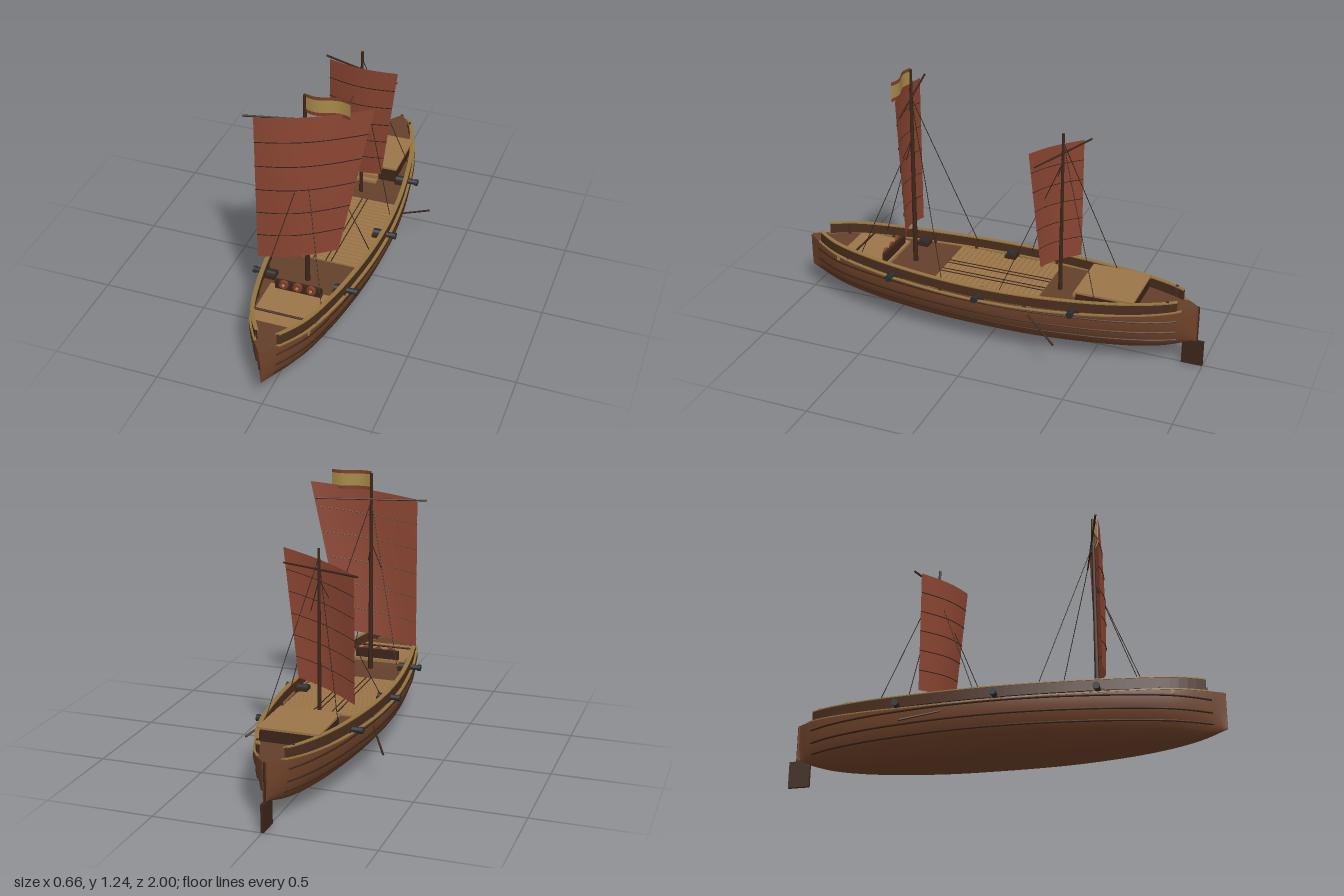
import * as THREE from 'three';
import { ParametricGeometry } from 'three/addons/geometries/ParametricGeometry.js';

const V = (x, y, z) => new THREE.Vector3(x, y, z);
const paint = (color, flatShading = false) => {
  const m = new THREE.MeshStandardMaterial({ color, flatShading, side: THREE.DoubleSide });
  return m;
};
const WOOD = paint(0x70432a), DECK = paint(0x64402b), TAN = paint(0x9c7548), DARK = paint(0x3c2519);
const BULWARK = paint(0x4a2d1e, true), RAIL = paint(0x94743f, true), IRON = paint(0x2a2d31);
const SAIL = paint(0x8c4633), ROPE = paint(0x2b2119), GOLD = paint(0xa88a48), RED = paint(0x7d3d2a);

// Smooth curve through a short table of values along z
function table(zs, vals) {
  const it = new THREE.CubicInterpolant(zs, vals, 1);
  return z => it.evaluate(z)[0];
}
const halfWidth = table(
  [-0.96, -0.9, -0.8, -0.6, -0.4, -0.2, 0, 0.2, 0.4, 0.6, 0.8, 0.9, 1],
  [0.008, 0.06, 0.115, 0.178, 0.214, 0.237, 0.245, 0.238, 0.217, 0.184, 0.13, 0.075, 0.006]);
const keel = table(
  [-0.96, -0.8, -0.4, 0, 0.4, 0.7, 0.9, 1],
  [0.125, 0.075, 0.036, 0.03, 0.034, 0.055, 0.088, 0.122]);
const sheer = z => 0.25 + (z < 0 ? 0.052 : 0.04) * z * z;
const hullX = (y, z) => {
  const q = THREE.MathUtils.clamp((y - keel(z)) / (sheer(z) - keel(z)), 0, 1);
  return halfWidth(z) * Math.pow(Math.sin(Math.acos(1 - q)), 0.85);
};

export function createModel() {
  const ship = new THREE.Group();
  ship.name = 'sailingShip';

  const add = (name, geo, mat, pos, parent = ship) => {
    const m = new THREE.Mesh(geo, mat);
    m.name = name;
    if (pos) m.position.copy(pos);
    parent.add(m);
    return m;
  };
  const box = (name, w, h, d, mat, x, y, z) => add(name, new THREE.BoxGeometry(w, h, d), mat, V(x, y, z));
  const surface = (name, mat, nu, nv, fn) => add(name, new ParametricGeometry((u, v, p) => fn(u, v, p), nu, nv), mat);
  const rod = (name, a, b, r0, r1, mat, sides = 10) => {
    const d = b.clone().sub(a);
    const m = add(name, new THREE.CylinderGeometry(r1, r0, d.length(), sides), mat, a.clone().lerp(b, 0.5));
    m.quaternion.setFromUnitVectors(V(0, 1, 0), d.normalize());
    return m;
  };

  // Hull shell and deck
  surface('hull', WOOD, 32, 64, (u, v, p) => {
    const z = -0.96 + 1.96 * v, a = (u * 2 - 1) * Math.PI / 2, s = Math.sin(a);
    p.set(Math.sign(s) * halfWidth(z) * Math.pow(Math.abs(s), 0.85),
      sheer(z) - (sheer(z) - keel(z)) * Math.cos(a), z);
  });
  surface('deck', DECK, 4, 48, (u, v, p) => {
    const z = -0.955 + 1.95 * v;
    p.set((1 - 2 * u) * halfWidth(z) * 0.99, sheer(z) - 0.002, z);
  });

  // Strip of rectangular section that follows the hull outline
  const strip = (name, mat, side, inset, thick, low, high, z0, z1) =>
    surface(name, mat, 4, 48, (u, v, p) => {
      const z = z0 + (z1 - z0) * v, k = Math.round(u * 4) % 4;
      p.set(side * (halfWidth(z) - inset - (k === 1 || k === 2 ? thick : 0)),
        k > 1 ? high(z) : low(z), z);
    });

  for (const s of [-1, 1]) {
    // Bulwarks and rails
    strip('bulwark', BULWARK, s, 0.008, 0.01, z => 0.265 + 0.026 * z * z, z => 0.312 + 0.032 * z * z, -0.88, 0.92);
    strip('bulwarkRail', RAIL, s, 0.004, 0.02, z => 0.312 + 0.032 * z * z, z => 0.317 + 0.032 * z * z, -0.88, 0.92);
    strip('gunwale', RAIL, s, -0.002, 0.014, z => sheer(z) - 0.002, z => sheer(z) + 0.004, -0.9, 0.93);
    for (let z = -0.84; z < 0.9; z += 0.21)
      box('bulwarkPost', 0.01, 0.06, 0.012, BULWARK, s * (halfWidth(z) - 0.016), sheer(z) + 0.028, z);

    // Wales along the hull side
    for (const y of [0.245, 0.187, 0.138]) {
      const pts = [];
      for (let i = 0; i <= 24; i++) {
        const z = -0.88 + 1.82 * i / 24;
        pts.push(V(s * hullX(y, z), y, z));
      }
      add('wale', new THREE.TubeGeometry(new THREE.CatmullRomCurve3(pts), 64, 0.005, 6), DARK);
    }

    // Cannons
    for (const [z, reach] of [[0.465, 0.25], [0.015, 0.282], [-0.435, 0.25]]) {
      box('cannonCarriage', 0.06, 0.024, 0.055, DARK, s * (reach - 0.08), 0.264, z);
      rod('cannonBarrel', V(s * (reach - 0.11), 0.274, z), V(s * reach, 0.274, z), 0.016, 0.012, IRON, 14);
      rod('cannonMuzzle', V(s * (reach - 0.014), 0.274, z), V(s * reach, 0.274, z), 0.016, 0.016, IRON, 14);
    }

    // Steering oars
    rod('oar', V(s * 0.225, 0.225, -0.225), V(s * 0.327, 0.155, -0.39), 0.004, 0.005, DARK, 8);
  }

  // Midship planking
  for (let i = 0; i < 20; i++)
    box('deckPlank', 0.42, 0.008, 0.023, TAN, 0, 0.256, -0.227 + i * 0.026);
  for (const x of [-0.055, -0.03, 0.03, 0.055])
    box('deckBatten', 0.004, 0.004, 0.52, DARK, x, 0.261, 0.02);

  // Bow platform with shield rack and crossbar
  box('bowPlatform', 0.28, 0.02, 0.26, TAN, 0, 0.264, 0.66);
  box('shieldRack', 0.22, 0.045, 0.016, DARK, 0, 0.296, 0.55);
  for (const x of [-0.065, 0, 0.065]) {
    rod('shield', V(x, 0.306, 0.556), V(x, 0.306, 0.568), 0.023, 0.021, RED, 18);
    rod('shieldBoss', V(x, 0.306, 0.566), V(x, 0.306, 0.574), 0.008, 0.006, GOLD, 10);
  }
  rod('bowCrossbar', V(-0.15, 0.28, 0.725), V(0.15, 0.28, 0.725), 0.005, 0.005, DARK, 8);

  // Stern cabin with steps
  box('cabin', 0.27, 0.075, 0.27, DARK, 0, 0.292, -0.56);
  box('cabinRoof', 0.285, 0.01, 0.28, TAN, 0, 0.334, -0.56);
  for (let i = 0; i < 2; i++)
    box('cabinStep', 0.1, 0.02 + 0.02 * (1 - i), 0.02, TAN, 0, 0.26 + 0.01 * (1 - i), -0.412 + 0.02 * i);

  // Stern post and rudder
  box('sternPost', 0.018, 0.17, 0.018, WOOD, 0, 0.213, -0.957);
  box('rudder', 0.014, 0.125, 0.1, DARK, 0, 0.0625, -0.95);
  rod('rudderStock', V(0, 0.1, -0.965), V(0, 0.3, -0.965), 0.006, 0.006, DARK, 8);

  // Mast, battened sail, yard and stays; corners run bottom left, bottom right, top left, top right
  function rig(prefix, z, top, r, corners, bulge, yard, stays) {
    rod(prefix + 'Mast', V(0, 0.24, z), V(0, top, z), r, r * 0.6, DARK, 12);
    const [bl, br, tl, tr] = corners;
    const at = (u, v, out = 0) => {
      const p = bl.clone().lerp(br, u).lerp(tl.clone().lerp(tr, u), v);
      p.z += bulge * Math.sin(Math.PI * u) * (0.75 + 0.25 * Math.sin(Math.PI * v)) + out;
      return p;
    };
    surface(prefix + 'Sail', SAIL, 20, 24, (u, v, p) => p.copy(at(u, v)));
    for (let i = 1; i < 6; i++) {
      const pts = [];
      for (let k = 0; k <= 10; k++) pts.push(at(k / 10, i / 6, 0.001));
      add(prefix + 'Batten', new THREE.TubeGeometry(new THREE.CatmullRomCurve3(pts), 20, 0.002, 5), ROPE);
    }
    rod(prefix + 'Yard', yard[0], yard[1], 0.005, 0.004, DARK, 8);
    for (const [y, footZ] of stays)
      for (const s of [-1, 1])
        rod(prefix + 'Stay', V(0, y, z), V(s * (halfWidth(footZ) - 0.02), 0.3, footZ), 0.0018, 0.0018, ROPE, 5);
  }
  rig('fore', 0.435, 1.235, 0.012,
    [V(-0.217, 0.375, 0.49), V(0.14, 0.45, 0.415), V(-0.213, 1.11, 0.49), V(0.287, 1.19, 0.375)], 0.038,
    [V(-0.262, 1.11, 0.488), V(0.26, 1.11, 0.368)], [[0.9, 0.66], [1.1, 0.2]]);
  rig('aft', -0.305, 1.04, 0.01,
    [V(-0.18, 0.353, -0.345), V(0.12, 0.417, -0.25), V(-0.175, 0.945, -0.345), V(0.2, 1.01, -0.217)], 0.028,
    [V(-0.2, 0.945, -0.372), V(0.19, 0.945, -0.24)], [[0.9, -0.08], [1, -0.535]]);

  // Masthead flag in three bands
  const bands = [[1.152, 1.168, RED], [1.168, 1.228, GOLD], [1.228, 1.244, RED]];
  for (const [y0, y1, mat] of bands)
    surface('flag', mat, 16, 2, (u, v, p) =>
      p.set(0.2 * u, y0 + (y1 - y0) * v, 0.435 + 0.012 * Math.sin(u * Math.PI * 2)));

  return ship;
}
